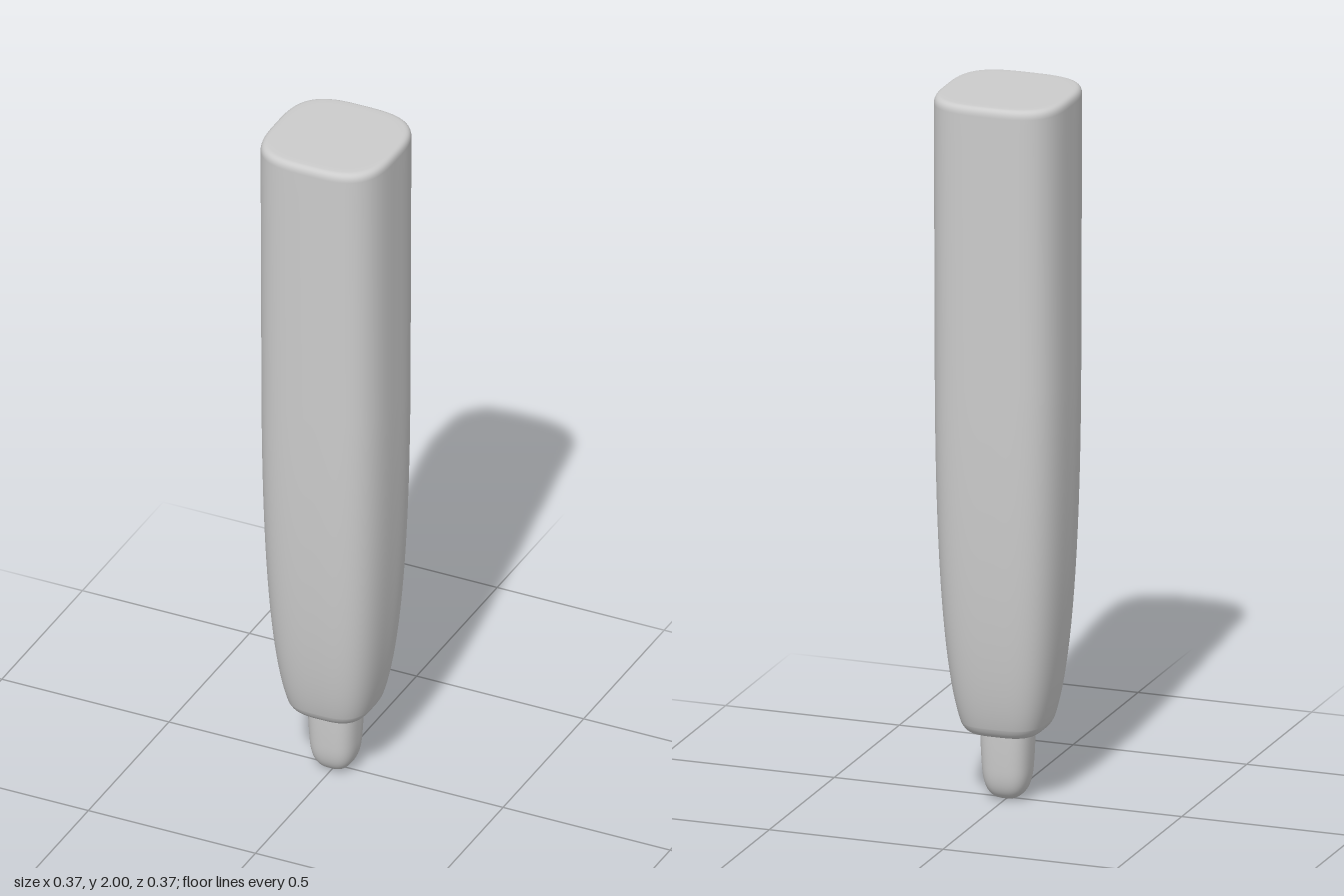
import * as THREE from 'three';
import { mergeVertices } from 'three/addons/utils/BufferGeometryUtils.js';

const material = new THREE.MeshStandardMaterial({ color: 0xcccccc });

// Lathes a profile, then squares each ring into a superellipse of power n.
function squaredLathe(name, profile, n) {
  const geometry = new THREE.LatheGeometry(profile.getPoints(20), 96);
  const pos = geometry.attributes.position;
  for (let i = 0; i < pos.count; i++) {
    const x = pos.getX(i), z = pos.getZ(i), r = Math.hypot(x, z);
    if (r < 1e-6) continue;
    const k = Math.pow(Math.abs(x / r) ** n + Math.abs(z / r) ** n, -1 / n);
    pos.setX(i, x * k);
    pos.setZ(i, z * k);
  }
  // Weld the seam so the shading runs smoothly all round
  geometry.deleteAttribute('normal');
  geometry.deleteAttribute('uv');
  const welded = mergeVertices(geometry, 1e-5);
  welded.computeVertexNormals();
  const mesh = new THREE.Mesh(welded, material);
  mesh.name = name;
  return mesh;
}

export function createModel() {
  const group = new THREE.Group();
  group.name = 'taperedLeg';

  // Long rounded-square body, tapering towards its lower end
  const body = new THREE.Path();
  body.moveTo(0, 0.195);
  body.lineTo(0.075, 0.195);
  body.lineTo(0.085, 0.195);
  body.quadraticCurveTo(0.105, 0.195, 0.117, 0.225);
  body.bezierCurveTo(0.15, 0.33, 0.18, 0.6, 0.182, 1.2);
  body.lineTo(0.184, 1.9);
  body.lineTo(0.184, 1.975);
  body.quadraticCurveTo(0.184, 1.998, 0.165, 1.999);
  body.lineTo(0.15, 2);
  body.lineTo(0, 2);
  group.add(squaredLathe('body', body, 3.2));

  // Small blunt tip under the body
  const tip = new THREE.Path();
  tip.moveTo(0, 0);
  tip.bezierCurveTo(0.045, 0, 0.062, 0.03, 0.066, 0.09);
  tip.quadraticCurveTo(0.07, 0.15, 0.071, 0.21);
  group.add(squaredLathe('tip', tip, 2.8));

  return group;
}
